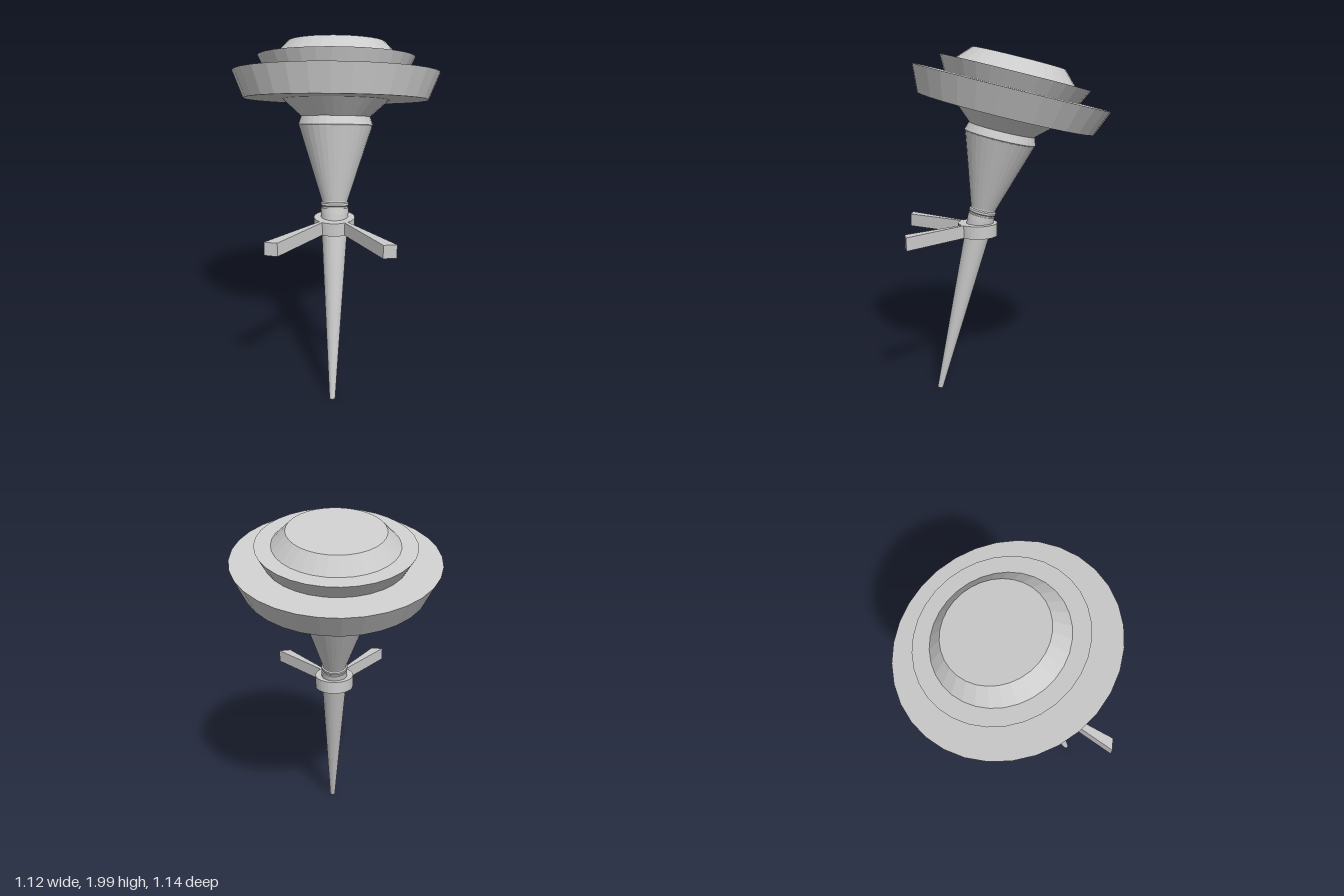
import * as THREE from 'three';

const material = new THREE.MeshStandardMaterial({ color: 0xcccccc, flatShading: true });
const SIDES = 32;

export function createModel() {
  const model = new THREE.Group();

  function add(name, geometry, parent) {
    const mesh = new THREE.Mesh(geometry, material);
    mesh.name = name;
    parent.add(mesh);
    return mesh;
  }

  // Closed solid of revolution from [radius, height] pairs, listed bottom to top
  function turned(name, profile, parent) {
    const points = [[0, profile[0][1]], ...profile, [0, profile[profile.length - 1][1]]];
    return add(name, new THREE.LatheGeometry(points.map(([r, y]) => new THREE.Vector2(r, y)), SIDES), parent);
  }

  // Leaning body: local y runs along the tilted axis, starting at the tip
  const body = new THREE.Group();
  body.name = 'leaningBody';
  body.position.set(0, 0.006, 0.405);
  body.rotation.x = THREE.MathUtils.degToRad(-13.68);
  model.add(body);

  turned('stem', [[0.016, 0], [0.076, 1.06], [0.076, 1.09]], body);
  turned('neckRings', [[0.07, 1.085], [0.07, 1.098], [0.077, 1.104], [0.077, 1.116], [0.07, 1.122], [0.07, 1.135]], body);
  turned('cone', [[0.072, 1.13], [0.2, 1.535]], body);
  turned('collar', [[0.196, 1.532], [0.204, 1.542], [0.188, 1.588]], body);
  turned('flare', [[0.188, 1.586], [0.293, 1.68]], body);
  turned('wideDisc', [[0.501, 1.678], [0.56, 1.822]], body);
  turned('middleDisc', [[0.382, 1.82], [0.425, 1.905]], body);
  turned('cap', [[0.34, 1.903], [0.262, 1.983]], body);

  // Level clamp around the stem, with two splayed arms
  const bottom = 0.945, height = 0.073;
  const clamp = turned('clampRing', [[0.112, bottom], [0.112, bottom + height]], model);
  clamp.position.z = 0.17;

  for (const side of [1, -1]) {
    // Arm plan in x and z, widening towards its free end
    const plan = [[0.055, 0.226], [0.05, 0.248], [0.264, 0.567], [0.333, 0.555]];
    const shape = new THREE.Shape(plan.map(([x, z]) => new THREE.Vector2(side * x, -z)));
    const geometry = new THREE.ExtrudeGeometry(shape, { depth: height, bevelEnabled: false });
    geometry.rotateX(-Math.PI / 2);
    geometry.translate(0, bottom, 0);
    add(side > 0 ? 'leftArm' : 'rightArm', geometry, model);
  }

  return model;
}
